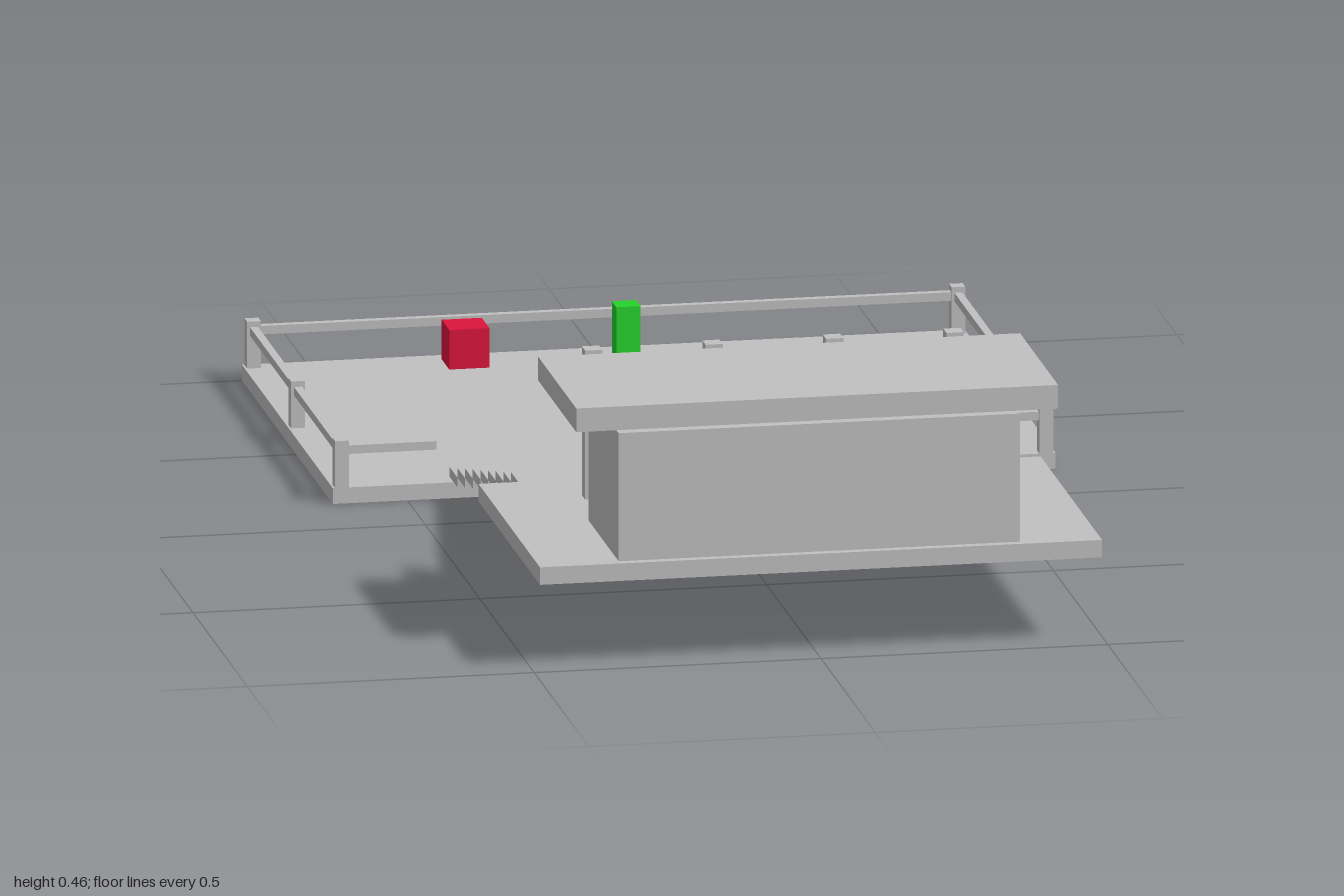
import * as THREE from 'three';

const stone = new THREE.MeshStandardMaterial({ color: 0xc0c0c0 });
stone.name = 'stone';
const crimson = new THREE.MeshStandardMaterial({ color: 0xdc143c });
crimson.name = 'crimson';
const green = new THREE.MeshStandardMaterial({ color: 0x26d32c });
green.name = 'green';
const yellow = new THREE.MeshStandardMaterial({ color: 0xd4d424 });
yellow.name = 'yellow';

// Adds a box given its low and high corner on each axis.
function addBox(parent, name, material, [x0, x1], [y0, y1], [z0, z1]) {
  const mesh = new THREE.Mesh(new THREE.BoxGeometry(x1 - x0, y1 - y0, z1 - z0), material);
  mesh.position.set((x0 + x1) / 2, (y0 + y1) / 2, (z0 + z1) / 2);
  mesh.name = name;
  parent.add(mesh);
  return mesh;
}

// Range of a given width around a centre.
const around = (c, w) => [c - w / 2, c + w / 2];

function addGroup(parent, name) {
  const group = new THREE.Group();
  group.name = name;
  parent.add(group);
  return group;
}

export function createModel() {
  const model = new THREE.Group();
  model.name = 'terraceAndCourtyard';

  const floorY = 0.028;
  const terraceY = 0.186;

  // Lower courtyard slab
  addBox(model, 'courtyardFloor', stone, [-0.63, 0.63], [0, floorY], [-1, -0.165]);

  // Railing: posts, side rails, back rail and two short front rails
  const railing = addGroup(model, 'railing');
  const railX = 0.614, backZ = -0.985, frontZ = -0.177;
  const railY = [0.086, 0.101], railW = 0.014;
  for (const side of [-1, 1]) {
    const x = side * railX;
    for (const z of [backZ, (backZ + frontZ) / 2, frontZ]) {
      addBox(railing, 'railPost', stone, around(x, 0.024), [floorY, 0.111], around(z, 0.024));
    }
    addBox(railing, 'sideRail', stone, around(x, railW), railY, [backZ, frontZ]);
    const ends = [x, side * 0.448].sort((a, b) => a - b);
    addBox(railing, 'frontRail', stone, ends, railY, around(frontZ, railW));
  }
  addBox(railing, 'backRail', stone, [-railX, railX], railY, around(backZ, railW));

  // Staircase of thin slabs rising to the terrace
  const stairs = addGroup(model, 'stairs');
  const count = 9, run = 0.0705, rise = (terraceY - 0.03) / count;
  for (let i = 0; i < count; i++) {
    const top = terraceY - 0.001 - i * rise;
    const z = 0.436 - i * run;
    addBox(stairs, 'step', stone, [-0.42, 0.42], [top - rise, top], [z - run, z + 0.002]);
  }

  // Upper terrace with pavilion
  addBox(model, 'terraceFloor', stone, [-0.49, 0.49], [0.155, terraceY], [0.435, 1]);
  const pavilion = addGroup(model, 'pavilion');
  addBox(pavilion, 'hall', stone, [-0.35, 0.35], [terraceY, 0.413], [0.71, 0.985]);
  addBox(pavilion, 'roof', stone, [-0.42, 0.42], [0.413, 0.455], [0.615, 0.965]);

  // Row of free-standing columns
  for (const x of [-0.315, -0.105, 0.105, 0.315]) {
    addBox(pavilion, 'column', stone, around(x, 0.03), [terraceY, 0.45], around(0.557, 0.03));
  }

  // Coloured courtyard objects
  addBox(model, 'floatingCube', crimson, around(-0.28, 0.07), [0.068, 0.138], around(-0.79, 0.07));
  addBox(model, 'greenPillar', green, around(0, 0.042), [floorY, 0.16], around(-0.79, 0.042));
  const cone = new THREE.Mesh(new THREE.ConeGeometry(0.042, 0.174, 32), yellow);
  cone.position.set(0, floorY + 0.087, -0.3);
  cone.name = 'yellowCone';
  model.add(cone);

  return model;
}
